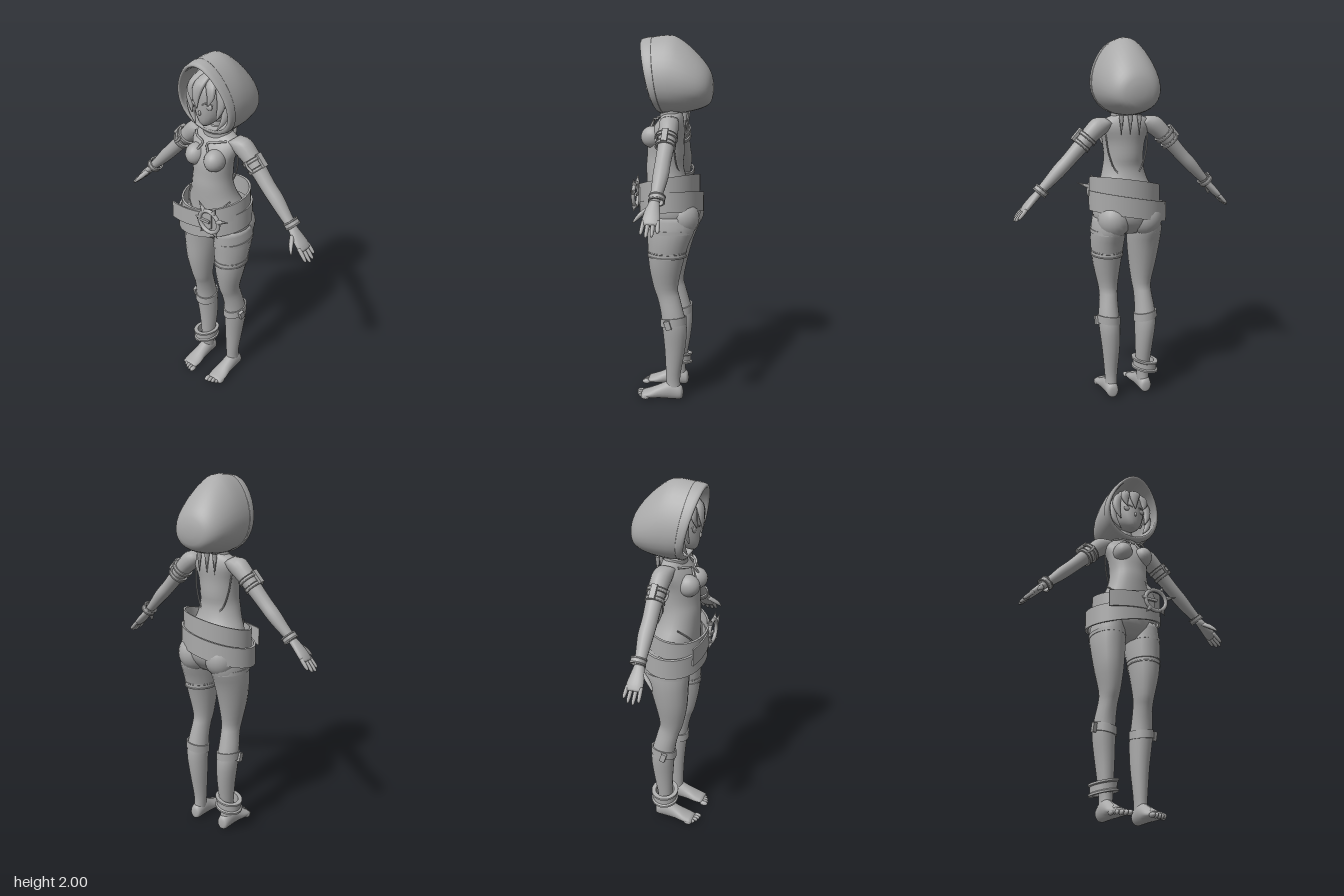
import * as THREE from 'three';
import { toCreasedNormals } from 'three/addons/utils/BufferGeometryUtils.js';

const X = new THREE.Vector3(1, 0, 0), Y = new THREE.Vector3(0, 1, 0), Z = new THREE.Vector3(0, 0, 1);

// Smooth closed body through elliptical rings [x, y, z, radiusU, radiusV]; the path runs along u x v
function loft(rings, u, v, sides = 20, steps = 3) {
  const centre = new THREE.CatmullRomCurve3(rings.map(r => new THREE.Vector3(r[0], r[1], r[2])), false, 'catmullrom', 0.5);
  const radii = new THREE.CatmullRomCurve3(rings.map(r => new THREE.Vector3(r[3], r[4], 0)), false, 'catmullrom', 0.5);
  const count = (rings.length - 1) * steps, pos = [], idx = [];
  for (let i = 0; i <= count; i++) {
    const c = centre.getPoint(i / count), r = radii.getPoint(i / count);
    for (let j = 0; j < sides; j++) {
      const a = j / sides * Math.PI * 2;
      pos.push(...c.clone().addScaledVector(u, r.x * Math.cos(a)).addScaledVector(v, r.y * Math.sin(a)).toArray());
    }
  }
  const end = pos.length / 3;
  pos.push(...centre.getPoint(0).toArray(), ...centre.getPoint(1).toArray());
  for (let j = 0; j < sides; j++) {
    const k = (j + 1) % sides;
    for (let i = 0; i < count; i++) {
      const a = i * sides + j, b = i * sides + k;
      idx.push(a, b, a + sides, b, b + sides, a + sides);
    }
    idx.push(end, k, j, end + 1, count * sides + j, count * sides + k);
  }
  const g = new THREE.BufferGeometry();
  g.setAttribute('position', new THREE.Float32BufferAttribute(pos, 3));
  g.setIndex(idx);
  g.computeVertexNormals();
  return g;
}
const upright = (rings, sides) => loft(rings, Z, X, sides);
const forward = (rings, sides) => loft(rings, X, Y, sides);
const hanging = (rings, sides = 8) => loft(rings, X, Z, sides);

// Move every vertex by a rule
function bend(g, rule) {
  const p = g.attributes.position, v = new THREE.Vector3();
  for (let i = 0; i < p.count; i++) {
    rule(v.fromBufferAttribute(p, i));
    p.setXYZ(i, v.x, v.y, v.z);
  }
  g.computeVertexNormals();
  return g;
}

// Strap with a rectangular section round an ellipse, sloping along x and z
function band(rx, rz, h, t = 0.1, slopeX = 0, slopeZ = 0, groove = 0) {
  const pts = [[1 - t, -h / 2], [1 + groove, -h / 2], [1 + groove, -h / 3], [1, -h / 4], [1, h / 4],
    [1 + groove, h / 3], [1 + groove, h / 2], [1 - t, h / 2], [1 - t, -h / 2]].map(p => new THREE.Vector2(...p));
  const g = bend(new THREE.LatheGeometry(pts, 32).scale(rx, 1, rz), v => { v.y += slopeX * v.x + slopeZ * v.z; });
  return toCreasedNormals(g, 0.6);
}
const ball = (x, y, z, a, b, c) => new THREE.SphereGeometry(1, 20, 14).scale(a, b, c).translate(x, y, z);
const cord = (points, r) => new THREE.TubeGeometry(
  new THREE.CatmullRomCurve3(points.map(p => new THREE.Vector3(...p))), 16, r, 6);

function mirrored(source) {
  const g = (source.index ? source.toNonIndexed() : source.clone()).scale(-1, 1, 1);
  for (const name of ['position', 'normal']) {
    const a = g.attributes[name].array;
    for (let i = 0; i < a.length; i += 9) for (let k = 0; k < 3; k++) [a[i + k], a[i + 6 + k]] = [a[i + 6 + k], a[i + k]];
  }
  return g;
}

export function createModel() {
  const model = new THREE.Group();
  model.name = 'hoodedFigure';
  const grey = new THREE.MeshStandardMaterial({ color: 0xaaaaaa });
  grey.name = 'clay grey';
  const add = (name, g) => {
    const m = new THREE.Mesh(g, grey);
    m.name = name;
    model.add(m);
  };
  const pair = (name, g) => { add(name + 'Left', g); add(name + 'Right', mirrored(g)); };

  // Torso and neck
  add('torso', upright([[0, 0.97, 0, 0.08, 0.1], [0, 1.03, 0, 0.135, 0.172], [0, 1.1, 0, 0.145, 0.188],
    [0, 1.18, 0.02, 0.125, 0.165], [0, 1.25, 0.04, 0.108, 0.132], [0, 1.32, 0.05, 0.1, 0.113],
    [0, 1.38, 0.045, 0.1, 0.108], [0, 1.46, 0.042, 0.096, 0.118], [0, 1.53, 0.022, 0.082, 0.138],
    [0, 1.575, 0.01, 0.06, 0.125], [0, 1.605, 0.008, 0.045, 0.065], [0, 1.64, 0.01, 0.036, 0.037],
    [0, 1.7, 0.025, 0.036, 0.036]], 28));
  pair('bust', ball(0.062, 1.475, 0.105, 0.053, 0.058, 0.062));
  pair('buttock', ball(0.09, 1.05, -0.06, 0.09, 0.1, 0.092));

  // Collar, halter straps and the points hanging at the back
  add('choker', band(0.043, 0.043, 0.022, 0.2).translate(0, 1.645, 0.012));
  add('collar', band(0.08, 0.062, 0.02, 0.25, 0, -0.25).translate(0, 1.6, 0.012));
  pair('halterStrap', cord([[0.1, 1.575, 0.06], [0.06, 1.57, 0.095], [0.015, 1.555, 0.108], [0.035, 1.515, 0.125]], 0.006));
  pair('backOpeningEdge', cord([[0.118, 1.5, -0.01], [0.105, 1.4, -0.02], [0.07, 1.31, -0.032], [0, 1.26, -0.06]], 0.004));
  for (const x of [-0.05, 0, 0.05])
    add('backPoint', new THREE.ConeGeometry(0.014, 0.11, 6).rotateX(Math.PI).translate(x, 1.55, -0.066));
  pair('hipLine', cord([[0.14, 1.25, 0.075], [0.1, 1.2, 0.125], [0.05, 1.14, 0.146]], 0.004));

  // Head
  add('face', upright([[0, 1.652, 0.1, 0.02, 0.016], [0, 1.672, 0.08, 0.054, 0.042], [0, 1.71, 0.056, 0.086, 0.07],
    [0, 1.77, 0.045, 0.1, 0.086], [0, 1.85, 0.04, 0.1, 0.086], [0, 1.91, 0.03, 0.055, 0.045]]));
  add('nose', ball(0, 1.728, 0.144, 0.007, 0.014, 0.009));
  add('mouth', ball(0, 1.694, 0.133, 0.017, 0.004, 0.004));
  pair('eye', ball(0.038, 1.765, 0.131, 0.02, 0.016, 0.007).rotateY(0.06));
  pair('eyelid', cord([[0.016, 1.774, 0.144], [0.036, 1.785, 0.136], [0.062, 1.772, 0.118]], 0.004));
  pair('ear', ball(0.09, 1.755, 0.03, 0.012, 0.03, 0.02));

  // Hair
  add('hairCap', ball(0, 1.815, 0.015, 0.11, 0.12, 0.115));
  add('fringe', hanging([[0.02, 1.925, 0.08, 0.02, 0.015], [0, 1.88, 0.135, 0.034, 0.018],
    [-0.012, 1.82, 0.155, 0.026, 0.012], [-0.006, 1.755, 0.158, 0.002, 0.002]]));
  pair('fringeLock', hanging([[0.03, 1.92, 0.08, 0.02, 0.015], [0.052, 1.87, 0.12, 0.03, 0.018],
    [0.062, 1.82, 0.134, 0.022, 0.012], [0.05, 1.775, 0.142, 0.002, 0.002]]));
  pair('templeLock', hanging([[0.05, 1.91, 0.07, 0.02, 0.015], [0.09, 1.84, 0.09, 0.026, 0.022],
    [0.098, 1.77, 0.1, 0.022, 0.018], [0.078, 1.7, 0.112, 0.003, 0.003]]));
  pair('sideLock', hanging([[0.08, 1.87, 0.05, 0.02, 0.02], [0.112, 1.78, 0.07, 0.022, 0.025],
    [0.105, 1.7, 0.085, 0.018, 0.018], [0.07, 1.64, 0.1, 0.003, 0.003]]));

  // Hood: narrow above, with the opening leaning forward at the top
  const hoodRule = v => {
    v.x *= 1 - 1.15 * (v.y - 1.8);
    v.z += (v.y - 1.8) * 1.9 * Math.max(0, v.z);
  };
  add('hood', bend(forward([[0, 1.73, -0.208, 0.03, 0.03], [0, 1.733, -0.192, 0.085, 0.083],
    [0, 1.75, -0.15, 0.125, 0.126], [0, 1.775, -0.08, 0.15, 0.17], [0, 1.795, 0, 0.161, 0.2],
    [0, 1.795, 0.07, 0.161, 0.197], [0, 1.79, 0.12, 0.155, 0.186], [0, 1.79, 0.12, 0.144, 0.174],
    [0, 1.79, 0.05, 0.145, 0.177], [0, 1.79, -0.03, 0.125, 0.15]], 32), hoodRule));
  add('hoodTrim', bend(forward([[0, 1.793, 0.085, 0.155, 0.189], [0, 1.793, 0.087, 0.164, 0.198],
    [0, 1.79, 0.125, 0.159, 0.19], [0, 1.79, 0.127, 0.143, 0.172], [0, 1.79, 0.09, 0.142, 0.172],
    [0, 1.79, -0.02, 0.12, 0.15]], 32), hoodRule));

  // Arms and hands share one slanted frame
  const down = new THREE.Vector3(0.67, -0.742, 0), out = new THREE.Vector3(0.742, 0.67, 0);
  const alongArm = (rings, sides = 16) => loft(rings, out, Z, sides);
  pair('arm', alongArm([[0.1, 1.57, 0.005, 0.03, 0.045], [0.145, 1.55, 0, 0.052, 0.052], [0.2, 1.503, -0.003, 0.047, 0.049],
    [0.255, 1.445, -0.003, 0.041, 0.043], [0.32, 1.375, 0, 0.037, 0.04], [0.375, 1.32, 0, 0.036, 0.04],
    [0.43, 1.262, 0.004, 0.029, 0.033], [0.485, 1.208, 0.01, 0.021, 0.026]]));
  pair('palm', alongArm([[0.478, 1.213, 0.01, 0.02, 0.024], [0.515, 1.175, 0.013, 0.02, 0.036],
    [0.55, 1.138, 0.013, 0.018, 0.044], [0.572, 1.114, 0.013, 0.011, 0.04]]));
  [[0.048, 0.075], [0.025, 0.09], [0.001, 0.085], [-0.022, 0.066]].forEach(([z, len]) => {
    const at = (s, r) => [0.555 + down.x * s, 1.132 + down.y * s, z + (z - 0.013) * s * 2, r, r];
    pair('finger', alongArm([at(0, 0.01), at(len * 0.5, 0.0105), at(len * 0.88, 0.008), at(len, 0.003)], 8));
  });
  pair('thumb', alongArm([[0.5, 1.185, 0.03, 0.014, 0.016], [0.518, 1.16, 0.062, 0.014, 0.016],
    [0.534, 1.138, 0.085, 0.01, 0.011], [0.547, 1.12, 0.1, 0.004, 0.004]], 8));

  // Armlets and bracelets
  const armRing = (x, y, r, h) => band(r, r, h, 0.15, 0, 0, 0.06).rotateZ(0.735).translate(x, y, 0);
  pair('armletUpper', armRing(0.218, 1.488, 0.054, 0.022));
  pair('armletLower', armRing(0.25, 1.452, 0.05, 0.022));
  pair('armletClasp', new THREE.BoxGeometry(0.016, 0.075, 0.03).rotateZ(0.735).translate(0.273, 1.508, 0));
  pair('armletTie', cord([[0.215, 1.5, 0.054], [0.23, 1.475, 0.056], [0.255, 1.455, 0.05]], 0.007));
  pair('bracelet', armRing(0.472, 1.222, 0.039, 0.034));

  // Legs, feet and toes
  pair('leg', upright([[0.1, 0.05, -0.012, 0.045, 0.035], [0.097, 0.1, -0.012, 0.04, 0.034], [0.097, 0.16, -0.013, 0.042, 0.038],
    [0.1, 0.3, -0.022, 0.057, 0.05], [0.107, 0.43, -0.022, 0.068, 0.059], [0.107, 0.52, -0.008, 0.063, 0.055],
    [0.102, 0.6, 0.012, 0.062, 0.05], [0.1, 0.66, 0.028, 0.067, 0.055], [0.105, 0.78, 0.028, 0.09, 0.076],
    [0.106, 0.9, 0.015, 0.11, 0.09], [0.104, 0.99, 0, 0.13, 0.092], [0.1, 1.06, 0, 0.13, 0.085]]));
  pair('foot', forward([[0.1, 0.04, -0.068, 0.015, 0.02], [0.1, 0.045, -0.056, 0.033, 0.04], [0.1, 0.056, 0, 0.038, 0.054],
    [0.1, 0.043, 0.06, 0.041, 0.041], [0.1, 0.029, 0.115, 0.05, 0.027], [0.1, 0.02, 0.165, 0.047, 0.017]]));
  for (let i = 0; i < 5; i++)
    pair('toe', ball(0.06 + i * 0.02, 0.016, 0.177 - i * i * 0.0022, i ? 0.0105 : 0.014, 0.014, 0.024));

  // Shorts hems, thigh strap, calf cuffs and ankle shackle
  pair('shortsHem', band(0.095, 0.126, 0.02, 0.12).translate(0.105, 0.982, 0.003));
  add('thighStrap', band(0.086, 0.104, 0.03, 0.12, 0, 0, 0.03).translate(0.106, 0.853, 0.02));
  pair('calfCuff', band(0.064, 0.072, 0.045, 0.12, 0.15, -0.15).translate(0.108, 0.468, -0.016));
  pair('cuffKnot', new THREE.BoxGeometry(0.018, 0.05, 0.03).rotateX(0.3).translate(0.174, 0.465, 0.005));
  add('ankleShackle', band(0.068, 0.07, 0.062, 0.22, 0.22, 0, 0.12).translate(-0.11, 0.165, -0.01));

  // Two crossing hip belts, low on the right side
  add('lowerBelt', band(0.216, 0.175, 0.108, 0.06, 0.2, -0.1).translate(-0.014, 1.105, 0.015));
  add('upperBelt', band(0.196, 0.166, 0.1, 0.06, 0.18, -0.2).translate(0, 1.19, 0.025));
  add('beltPlate', bend(new THREE.BoxGeometry(0.27, 0.095, 0.008, 12, 1, 1), v => {
    v.y += 0.12 * v.x;
    v.z -= 1.2 * v.x * v.x;
  }).translate(-0.04, 1.145, 0.194));

  // Spiked ring buckle
  add('buckleRing', new THREE.TorusGeometry(0.062, 0.011, 8, 28).translate(0.095, 1.168, 0.192));
  [[0.35, 0.075], [1.1, 0.04], [2.15, 0.06], [3.1, 0.03], [4.1, 0.035], [5.3, 0.035]].forEach(([a, len]) => {
    const d = 0.066 + len / 2;
    add('buckleSpike', new THREE.ConeGeometry(0.014, len, 6).rotateZ(a - Math.PI / 2)
      .translate(0.095 + Math.cos(a) * d, 1.168 + Math.sin(a) * d, 0.192));
  });
  add('bucklePin', new THREE.BoxGeometry(0.08, 0.014, 0.012).translate(0.06, 1.165, 0.194));
  return model;
}
